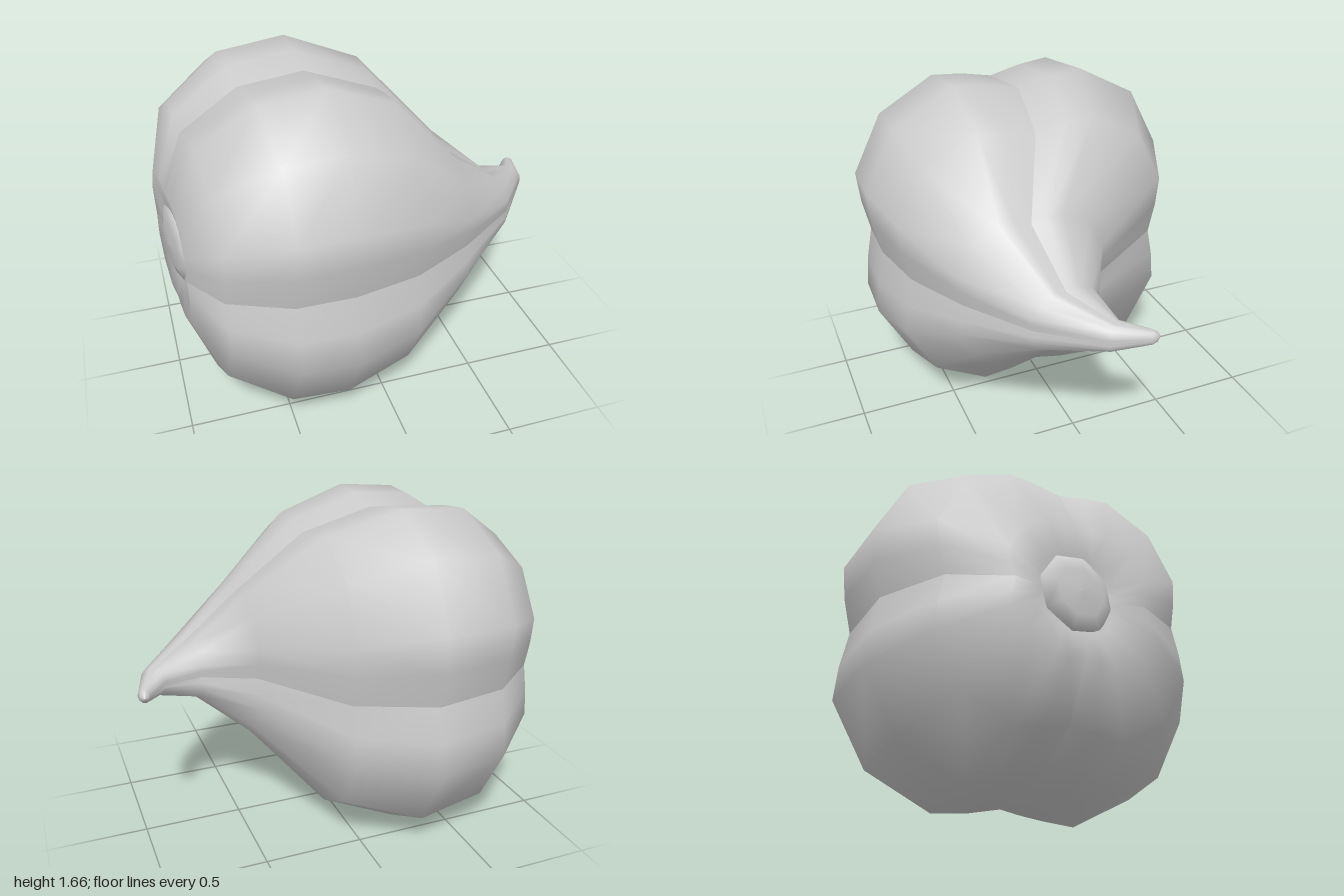
import * as THREE from 'three';

const MID_Y = 0.83;

// One quarter of the cross-section as [z, y], from groove to groove.
const QUARTER = [[0.934, 0], [0.98, 0.217], [1, 0.425], [0.8, 0.8], [0.425, 1], [0.217, 0.98], [0, 0.934]];

// Sections from base to tip: back x, back z, front x, front z, half height, roundness.
const RINGS = [
  [-0.91, 0.1, -0.91, 0.1, 0, 1],
  [-0.965, -0.09, -0.92, 0.29, 0.19, 0.5],
  [-1, -0.23, -0.93, 0.45, 0.33, 0],
  [-0.92, -0.53, -0.79, 0.68, 0.62, 0],
  [-0.65, -0.76, -0.5, 0.82, 0.8, 0],
  [-0.27, -0.83, -0.22, 0.825, 0.83, 0],
  [0.1, -0.66, 0.1, 0.75, 0.71, 0],
  [0.41, -0.18, 0.41, 0.57, 0.38, 0],
  [0.66, -0.04, 0.73, 0.33, 0.15, 0.3],
  [0.85, -0.05, 0.95, 0.05, 0.07, 0.7],
  [0.945, -0.165, 1, -0.135, 0.035, 1],
  [0.958, -0.18, 0.996, -0.162, 0.022, 1],
  [0.978, -0.186, 0.978, -0.186, 0, 1],
];

// A quarter of the bulb; the signs choose front/back and top/bottom.
function lobeGeometry(signZ, signY) {
  const positions = [], index = [], n = QUARTER.length;
  for (const [xb, zb, xf, zf, h, round] of RINGS) {
    for (const [pz, py] of QUARTER) {
      const s = THREE.MathUtils.lerp(1, 1 / Math.hypot(pz, py), round);
      const v = pz * s * signZ, u = py * s * signY;
      const t = (v + 1) / 2;
      positions.push(xb + (xf - xb) * t, MID_Y + h * u, zb + (zf - zb) * t);
    }
  }
  const flip = signZ * signY < 0;
  for (let i = 0; i < RINGS.length - 1; i++) {
    for (let j = 0; j < n - 1; j++) {
      const a = i * n + j, b = a + n, c = b + 1, d = a + 1;
      if (flip) index.push(a, c, b, a, d, c);
      else index.push(a, b, c, a, c, d);
    }
  }
  const geometry = new THREE.BufferGeometry();
  geometry.setAttribute('position', new THREE.Float32BufferAttribute(positions, 3));
  geometry.setIndex(index);
  geometry.computeVertexNormals();
  return geometry;
}

export function createModel() {
  const group = new THREE.Group();
  group.name = 'bulb';
  const material = new THREE.MeshStandardMaterial({ color: 0xcccccc });

  // Four swollen lobes meeting in sharp grooves and drawn out into a bent tip
  for (const [signZ, front] of [[1, 'front'], [-1, 'back']]) {
    for (const [signY, level] of [[1, 'Upper'], [-1, 'Lower']]) {
      const lobe = new THREE.Mesh(lobeGeometry(signZ, signY), material);
      lobe.name = `${front}${level}Lobe`;
      group.add(lobe);
    }
  }

  // Shallow domed root plate in the hollow of the base
  const profile = [[0.17, -0.05], [0.195, 0], [0.12, 0.022], [0, 0.03]].map(([r, y]) => new THREE.Vector2(r, y));
  const plate = new THREE.Mesh(new THREE.LatheGeometry(profile, 8), material);
  plate.name = 'rootPlate';
  plate.position.set(-0.945, MID_Y, 0.1);
  plate.quaternion.setFromUnitVectors(new THREE.Vector3(0, 1, 0), new THREE.Vector3(-1, 0, 0.2).normalize());
  group.add(plate);

  return group;
}
